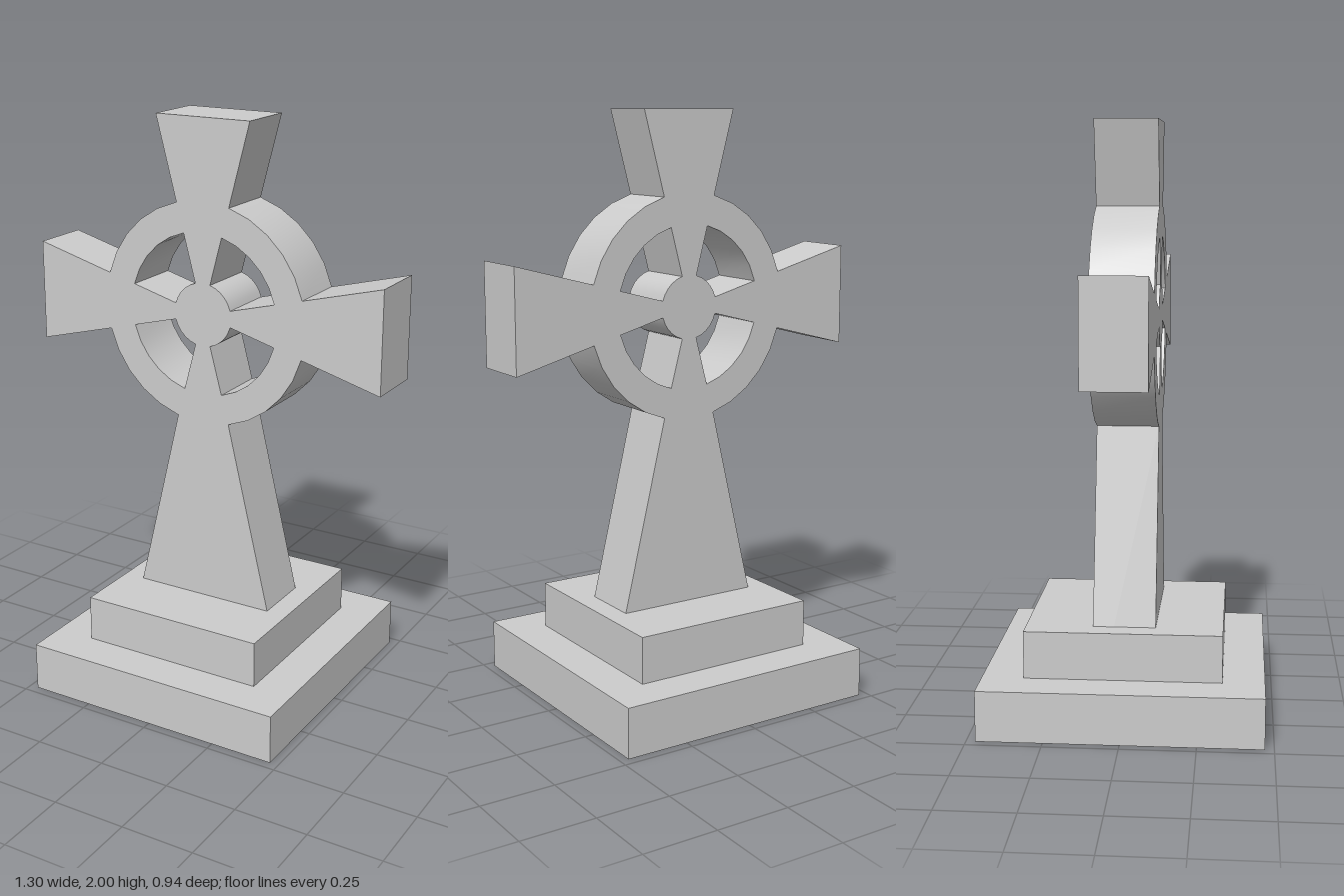
import * as THREE from 'three';
import { toCreasedNormals } from 'three/addons/utils/BufferGeometryUtils.js';

const material = new THREE.MeshStandardMaterial({ color: 0xcccccc, side: THREE.DoubleSide });
const CY = 1.352;              // height of the wheel centre
const HALF = Math.PI / 12;     // half angle of each flared arm
const STEPS = 5;               // segments per quarter arc

const polar = (r, a) => new THREE.Vector2(r * Math.cos(a), CY + r * Math.sin(a));

// Points on an arc from angle a to angle b
function arc(r, a, b) {
  return Array.from({ length: STEPS + 1 }, (_, i) => polar(r, a + (b - a) * i / STEPS));
}

// Drop the triangles that lie flat on a given height, leaving the underside open
function openBottom(geometry, y) {
  const g = geometry.index ? geometry.toNonIndexed() : geometry;
  const p = g.attributes.position;
  const kept = [];
  for (let i = 0; i < p.count; i += 3) {
    if ([0, 1, 2].every(k => Math.abs(p.getY(i + k) - y) < 1e-4)) continue;
    for (let k = 0; k < 3; k++) kept.push(p.getX(i + k), p.getY(i + k), p.getZ(i + k));
  }
  const out = new THREE.BufferGeometry();
  out.setAttribute('position', new THREE.Float32BufferAttribute(kept, 3));
  return toCreasedNormals(out, Math.PI / 6);
}

function add(group, name, geometry) {
  const mesh = new THREE.Mesh(geometry, material);
  mesh.name = name;
  group.add(mesh);
}

// Square plinth step, hollow underneath
function step(width, bottom, top) {
  const box = new THREE.BoxGeometry(width, top - bottom, width);
  box.translate(0, (bottom + top) / 2, 0);
  return openBottom(box, bottom);
}

// Ringed cross with flared arms and a tapering shaft reaching the ground
function ringedCross() {
  const ringOuter = 0.38, ringInner = 0.277, hub = 0.108, reach = 0.648, depth = 0.21;
  const outline = [], holes = [];
  for (let q = 0; q < 4; q++) {
    const axis = q * Math.PI / 2;
    const from = axis + HALF, to = axis + Math.PI / 2 - HALF;
    // end of the arm, or the foot of the shaft
    if (q === 3) outline.push(new THREE.Vector2(-0.334, 0), new THREE.Vector2(0.334, 0));
    else outline.push(polar(reach / Math.cos(HALF), axis - HALF), polar(reach / Math.cos(HALF), from));
    outline.push(...arc(ringOuter, from, to));
    // opening between hub and ring
    holes.push(new THREE.Path([...arc(ringInner, from, to), ...arc(hub, to, from)]));
  }
  const shape = new THREE.Shape(outline);
  shape.holes = holes;
  const geometry = new THREE.ExtrudeGeometry(shape, { depth, bevelEnabled: false });
  geometry.translate(0, 0, -depth / 2);
  return openBottom(geometry, 0);
}

export function createModel() {
  const group = new THREE.Group();
  group.name = 'stoneCross';
  add(group, 'lowerStep', step(0.94, 0, 0.17));
  add(group, 'upperStep', step(0.66, 0.17, 0.33));
  add(group, 'ringedCross', ringedCross());
  return group;
}
